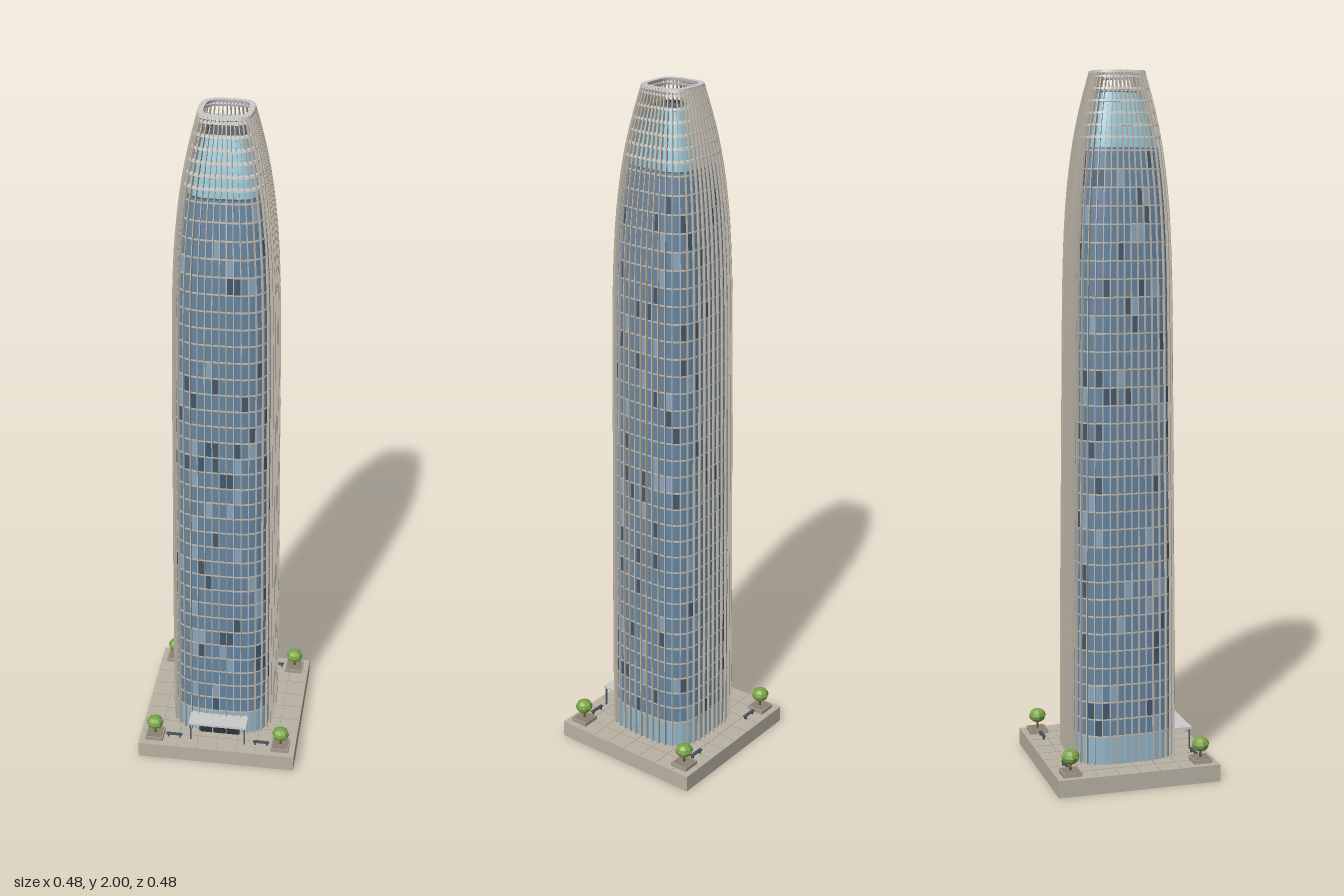
import * as THREE from 'three';
import { mergeGeometries } from 'three/addons/utils/BufferGeometryUtils.js';

const BASE = 0.05, FINS = 48, SEG = 96, N = 3.6;

// Half width of the tower's outer edge at each height
const HEIGHTS = [0.05, 0.5, 1.0, 1.3, 1.5, 1.65, 1.8, 1.9, 2.0];
const HALVES = [0.157, 0.154, 0.149, 0.146, 0.142, 0.134, 0.117, 0.098, 0.073];
const profile = new THREE.CubicInterpolant(HEIGHTS, HALVES, 1, [0]);
const half = (y) => profile.evaluate(y)[0];
const glassHalf = (y) => half(y) - 0.008;

// Unit rounded square in polar form
function unit(a) {
  const c = Math.cos(a), s = Math.sin(a);
  const r = Math.pow(Math.abs(c) ** N + Math.abs(s) ** N, -1 / N);
  return [c * r, s * r];
}

// Angles that divide the rounded square into equal lengths
function equalAngles(count) {
  const steps = 4800, lengths = [0], out = [];
  for (let i = 1; i <= steps; i++) {
    const p = unit((i - 1) / steps * Math.PI * 2), q = unit(i / steps * Math.PI * 2);
    lengths.push(lengths[i - 1] + Math.hypot(q[0] - p[0], q[1] - p[1]));
  }
  for (let k = 0, i = 0; k < count; k++) {
    while (lengths[i] < lengths[steps] * k / count - 1e-9) i++;
    out.push(i / steps * Math.PI * 2);
  }
  return out;
}
const ANGLES = equalAngles(SEG);

function at(a, h, y) {
  const [x, z] = unit(a);
  return [x * h, y, z * h];
}
const loop = (h, y) => ANGLES.map((a) => at(a, h, y));

// Skin over rows of points
function skin(rows, { closed = true, wrap = false, flat = false } = {}) {
  const w = rows[0].length, index = [];
  const rowCount = wrap ? rows.length : rows.length - 1;
  for (let i = 0; i < rowCount; i++) {
    for (let j = 0; j < (closed ? w : w - 1); j++) {
      const i2 = (i + 1) % rows.length, j2 = (j + 1) % w;
      const a = i * w + j, b = i * w + j2, c = i2 * w + j2, d = i2 * w + j;
      index.push(a, d, c, a, c, b);
    }
  }
  let g = new THREE.BufferGeometry();
  g.setAttribute('position', new THREE.Float32BufferAttribute(rows.flat(2), 3));
  g.setIndex(index);
  if (flat) g = g.toNonIndexed();
  g.computeVertexNormals();
  return g;
}

// Horizontal band around the tower
function ring(y, height, outer, inner) {
  const top = y + height, taper = Math.max(0, half(y) - half(Math.min(top, 2)));
  return skin([loop(outer, y), loop(outer - taper, top), loop(inner - taper, top), loop(inner, y)],
    { wrap: true, flat: true });
}

// Vertical blade that follows the tower's curve
function fin(a) {
  const [ux, uz] = unit(a);
  const n = new THREE.Vector2(Math.sign(ux) * Math.abs(ux) ** (N - 1), Math.sign(uz) * Math.abs(uz) ** (N - 1)).normalize();
  const rows = [], steps = 32, t = 0.0014;
  for (let k = 0; k <= steps; k++) {
    const y = BASE + (2 - BASE) * (1 - (1 - k / steps) ** 1.4);
    const [x, , z] = at(a, glassHalf(y), y);
    rows.push([[-0.001, -t], [0.008, -t], [0.008, t], [-0.001, t]].map(([d, s]) =>
      [x + n.x * d - n.y * s, y, z + n.y * d + n.x * s]));
  }
  const caps = [rows[steps].map(() => rows[steps][0])];
  return skin([...rows, rows[steps], ...caps], { flat: true });
}

// Flat lid with a rounded square outline
function lid(h, y) {
  return skin([loop(h, y), loop(0.0001, y)], { flat: true });
}

function seeded(seed) {
  return () => (seed = (seed * 16807) % 2147483647) / 2147483647;
}

const mat = (color, extra = {}) => new THREE.MeshStandardMaterial({ color, ...extra });

export function createModel() {
  const model = new THREE.Group();
  const add = (name, geometry, material, x = 0, y = 0, z = 0, parent = model) => {
    const m = new THREE.Mesh(geometry, material);
    m.name = name;
    m.position.set(x, y, z);
    parent.add(m);
    return m;
  };
  const box = (name, w, h, d, material, x, y, z, parent) =>
    add(name, new THREE.BoxGeometry(w, h, d), material, x, y + h / 2, z, parent);

  const stone = mat(0xb9b2a4), joint = mat(0xa49d90), cream = mat(0xbfb8ac);
  const pale = mat(0xd2d4d4), dark = mat(0x4a535c), steel = mat(0x55606a);
  const blue = mat(0x6484a2), cyan = mat(0x8cc3d6, { side: THREE.DoubleSide });

  // Plaza with paving joints
  box('plaza', 0.476, BASE, 0.476, stone, 0, 0, 0);
  for (let i = -3; i <= 3; i++) {
    box('pavingJoint', 0.0015, 0.0006, 0.47, joint, i * 0.06, BASE, 0);
    box('pavingJoint', 0.47, 0.0006, 0.0015, joint, 0, BASE, i * 0.06);
  }

  // Glass shaft and lobby
  const shaft = [], lobbyTop = 0.13, shaftTop = 1.79;
  for (let k = 0; k <= 32; k++) {
    const y = lobbyTop + (shaftTop - lobbyTop) * k / 32;
    shaft.push(loop(glassHalf(y), y));
  }
  add('glassShaft', skin(shaft), blue);
  add('lobbyGlass', skin([loop(glassHalf(BASE), BASE), loop(glassHalf(lobbyTop), lobbyTop)]), mat(0x8fb6cc));
  add('crownDeck', lid(glassHalf(shaftTop), shaftTop), steel);

  // Floor bands
  const floorStep = 0.05, bands = [], floors = 33;
  for (let k = 0; k <= floors; k++) {
    const y = lobbyTop + k * floorStep;
    bands.push(ring(y, 0.004, glassHalf(y) + 0.002, glassHalf(y) - 0.002));
  }
  add('floorBands', mergeGeometries(bands), cream);

  // Scattered darker and lighter window panels
  const random = seeded(41), darkPanels = [], lightPanels = [];
  for (let k = 0; k < floors; k++) {
    for (let j = 0; j < SEG; j += 2) {
      const r = random();
      if (r > 0.14) continue;
      const y0 = lobbyTop + k * floorStep + 0.004, y1 = y0 + 0.046;
      const row = (y) => [0, 1, 2].map((s) => at(ANGLES[(j + s) % SEG], glassHalf(y) + 0.0008, y));
      (r < 0.07 ? darkPanels : lightPanels).push(skin([row(y0), row(y1)], { closed: false }));
    }
  }
  add('darkPanels', mergeGeometries(darkPanels), mat(0x41586e));
  add('lightPanels', mergeGeometries(lightPanels), mat(0x86a6c0));

  // Fins
  const fins = [];
  for (let i = 0; i < FINS; i++) fins.push(fin(ANGLES[i * SEG / FINS]));
  add('fins', mergeGeometries(fins), cream);

  // Crown lantern, roof and open lattice rings
  const lantern = [0, 0.25, 0.5, 0.75, 1].map((t) =>
    loop(0.1 - 0.042 * t ** 1.3, shaftTop + 0.15 * t));
  add('crownGlass', skin(lantern), cyan);
  add('roof', lid(0.058, 1.935), mat(0x59636c));
  add('roofCurb', ring(1.935, 0.008, 0.057, 0.05), dark);
  const rings = [];
  for (let k = 0; k < 6; k++) {
    const y = 1.815 + k * 0.033;
    rings.push(ring(y, 0.006, half(y) - 0.003, half(y) - 0.012));
  }
  rings.push(ring(1.992, 0.008, half(1.992) - 0.001, 0.06));
  add('crownRings', mergeGeometries(rings), pale);

  // Entrance
  const entrance = new THREE.Group();
  entrance.name = 'entrance';
  model.add(entrance);
  box('canopy', 0.176, 0.007, 0.075, pale, 0, 0.11, 0.1655, entrance);
  for (const s of [-1, 1]) box('canopyPost', 0.004, 0.06, 0.004, steel, s * 0.083, BASE, 0.197, entrance);
  box('doorFrame', 0.13, 0.05, 0.008, steel, 0, BASE, 0.15, entrance);
  for (let i = -1; i <= 1; i++) box('door', 0.036, 0.042, 0.004, mat(0x2b3238), i * 0.041, BASE, 0.156, entrance);

  // Trees in planters and benches at each corner
  const leaf = mat(0x7ba548, { flatShading: true }), bark = mat(0x6b4e35);
  for (const sx of [-1, 1]) {
    for (const sz of [-1, 1]) {
      const corner = new THREE.Group();
      corner.name = 'cornerGarden';
      corner.position.set(sx * 0.193, BASE, sz * 0.193);
      model.add(corner);
      box('planter', 0.054, 0.012, 0.054, joint, 0, 0, 0, corner);
      box('soil', 0.046, 0.001, 0.046, mat(0x8a8272), 0, 0.012, 0, corner);
      add('trunk', new THREE.CylinderGeometry(0.003, 0.004, 0.03, 6), bark, 0, 0.023, 0, corner);
      const crown = add('treeCrown', new THREE.SphereGeometry(0.026, 8, 6), leaf, 0, 0.051, 0, corner);
      crown.scale.y = 0.8;
      box('benchSeat', 0.048, 0.004, 0.009, dark, -sx * 0.059, 0.009, 0, corner);
      for (const e of [-1, 1]) box('benchLeg', 0.004, 0.009, 0.007, dark, -sx * 0.059 + e * 0.018, 0, 0, corner);
    }
  }
  return model;
}
